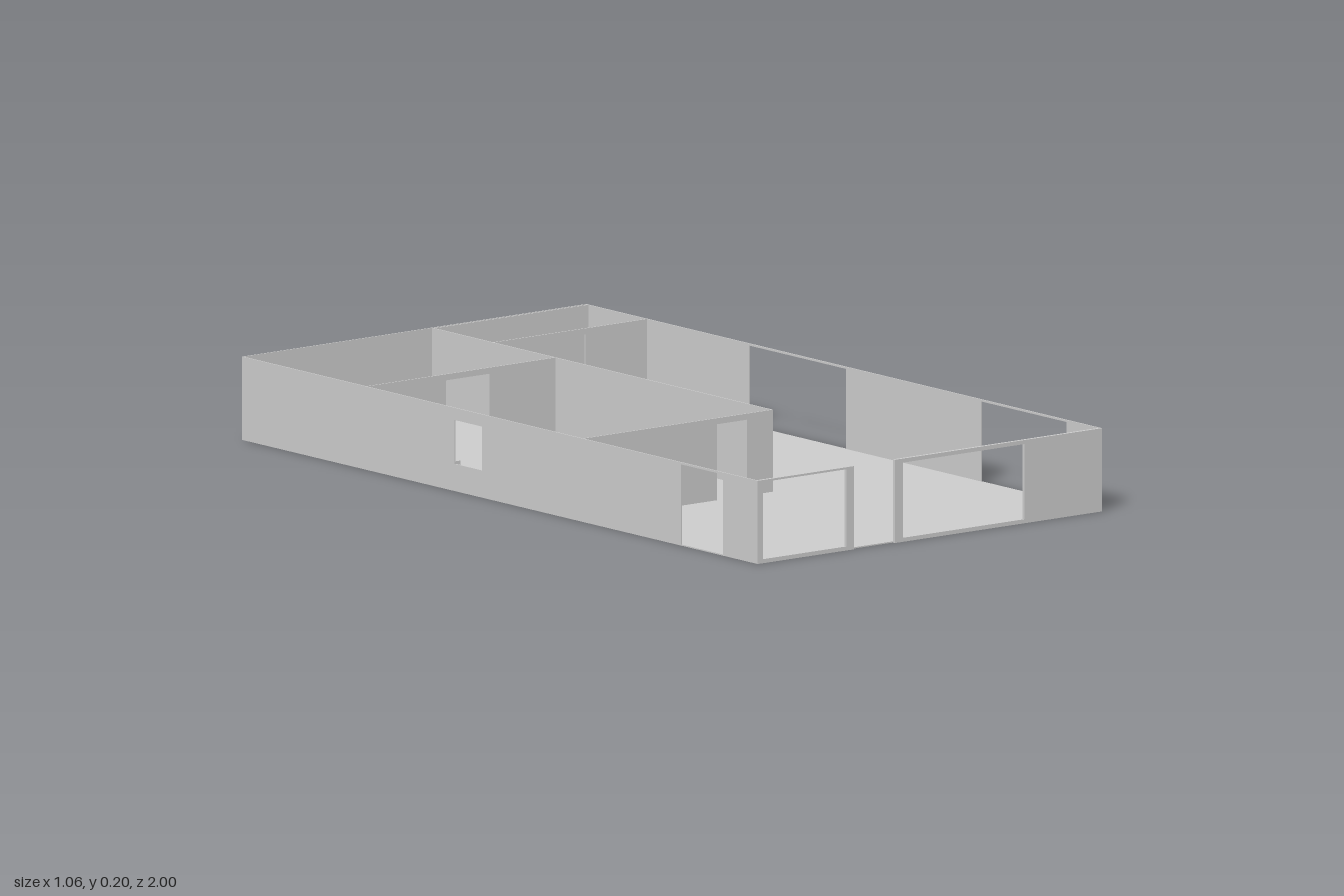
import * as THREE from 'three';

const HEIGHT = 0.205, HEADER = 0.2, FLOOR = 0.003, DOOR = 0.19;
const HALF_X = 0.532, HALF_Z = 1, THIN = 0.003;

export function createModel() {
  const model = new THREE.Group();
  const material = new THREE.MeshStandardMaterial({ color: 0xcccccc, flatShading: true });

  function add(name, geometry) {
    const mesh = new THREE.Mesh(geometry, material);
    mesh.name = name;
    model.add(mesh);
    return mesh;
  }

  // Upright panel from a to b along an axis; openings are [from, to, bottom, top].
  // 'at' is the middle of its thickness on the other axis.
  function wall(name, axis, a, b, at, openings = [], thickness = THIN) {
    const shape = new THREE.Shape();
    shape.moveTo(a, 0).lineTo(b, 0).lineTo(b, HEIGHT).lineTo(a, HEIGHT).closePath();
    for (const [u0, u1, y0, y1] of openings) {
      const hole = new THREE.Path();
      hole.moveTo(u0, y0).lineTo(u0, y1).lineTo(u1, y1).lineTo(u1, y0).closePath();
      shape.holes.push(hole);
    }
    const geometry = new THREE.ExtrudeGeometry(shape, { depth: thickness, bevelEnabled: false });
    geometry.translate(0, 0, -thickness / 2);
    if (axis === 'z') geometry.rotateY(-Math.PI / 2).translate(at, 0, 0);
    else geometry.translate(0, 0, at);
    add(name, geometry);
  }

  // Solid block standing on the floor
  function block(name, x0, x1, z0, z1, y0, y1) {
    const geometry = new THREE.BoxGeometry(x1 - x0, y1 - y0, z1 - z0);
    geometry.translate((x0 + x1) / 2, (y0 + y1) / 2, (z0 + z1) / 2);
    add(name, geometry);
  }

  const inner = HALF_X - THIN;
  const sideX = HALF_X - THIN / 2;

  block('floor', -inner, inner, -HALF_Z + THIN, 0.992, 0, FLOOR);

  // Outer side walls with tall openings and a small window
  wall('leftWall', 'z', -HALF_Z, HALF_Z, sideX, [
    [0.535, 0.865, FLOOR, HEADER],
    [-0.365, 0.01, FLOOR, HEADER],
  ]);
  wall('rightWall', 'z', -HALF_Z, HALF_Z, -sideX, [
    [0.703, 0.865, FLOOR, HEADER],
    [-0.175, -0.07, 0.067, 0.175],
  ]);

  // Back wall, doubled behind the end room
  wall('backWall', 'x', -inner, inner, -HALF_Z + THIN / 2);
  wall('backLining', 'x', 0.055, inner, -0.99);

  // Front wall in two framed panels, with the entrance gap between them
  wall('frontWindowPanel', 'x', -inner, -0.235, 0.996, [[-0.515, -0.257, 0.01, HEADER]], 0.008);
  wall('frontWidePanel', 'x', -0.108, inner, 0.996, [[-0.083, 0.292, 0.01, 0.195]], 0.008);

  // Inner partitions
  wall('corridorWall', 'z', -HALF_Z + THIN, 0.322, 0.054);
  wall('servingWall', 'x', -inner, 0.0525, 0.3205, [
    [-0.524, -0.25, 0.05, 0.112],
    [-0.118, -0.025, FLOOR, DOOR],
  ]);
  wall('rearRoomWall', 'x', -inner, 0.0525, -0.52, [[-0.285, -0.15, FLOOR, DOOR]]);
  wall('endRoomWall', 'x', 0.0555, inner, -0.762, [[0.233, 0.338, FLOOR, DOOR]]);

  // Fittings of the middle room
  block('servingCounter', -inner, -0.25, 0.3, 0.325, FLOOR, 0.05);
  block('table', -0.345, -0.21, -0.053, 0.03, FLOOR, 0.056);
  block('sideCabinet', -inner, -0.46, -0.328, -0.243, FLOOR, 0.056);
  block('corridorCabinet', -0.022, 0.0525, -0.235, -0.153, FLOOR, 0.056);

  return model;
}
